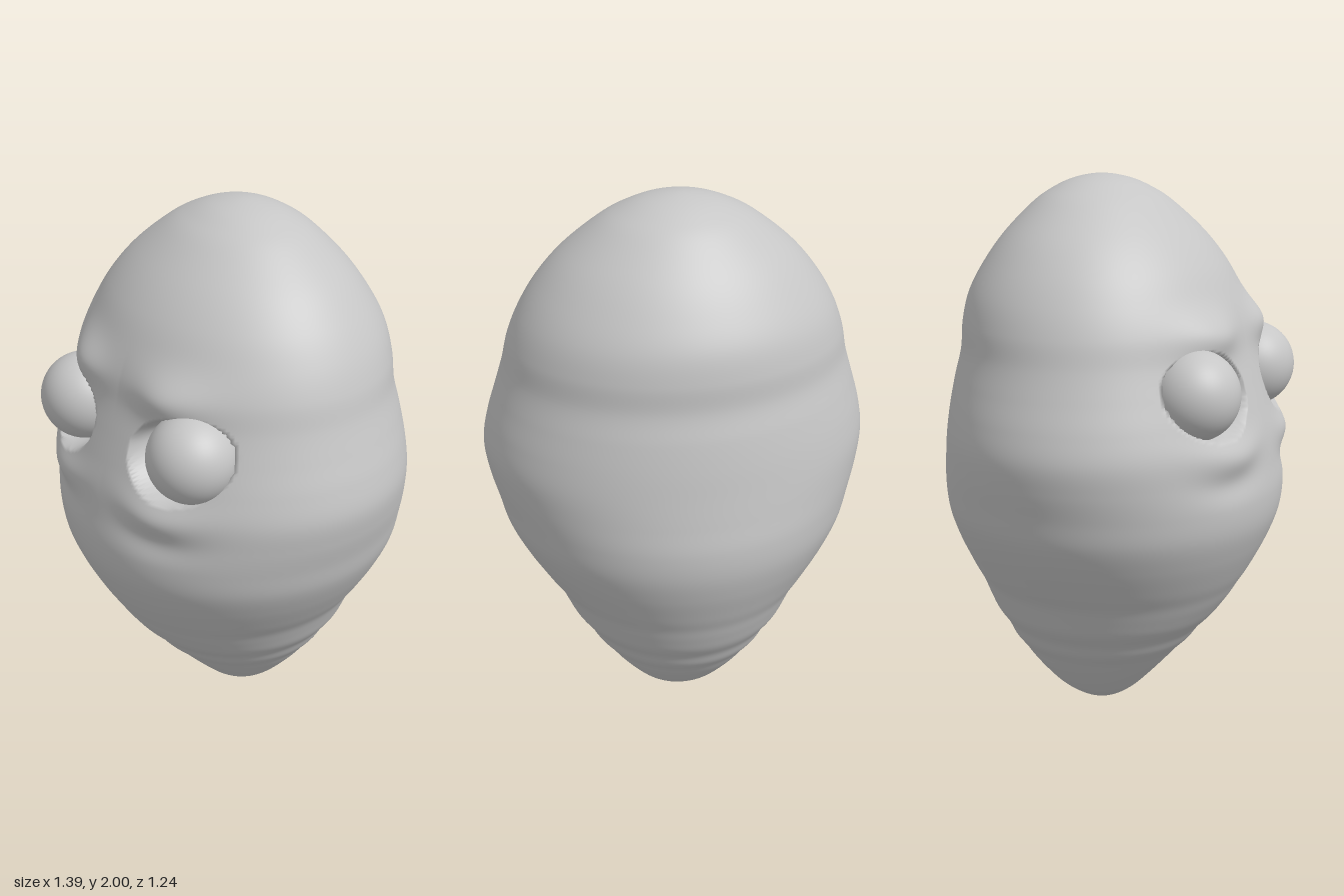
import * as THREE from 'three';

// Head cross-sections, bottom to top: [y, half width, front z, back z]
const RINGS = [
  [0, 0, -0.055, -0.055], [0.012, 0.066, 0.01, -0.12], [0.05, 0.133, 0.072, -0.183],
  [0.1, 0.188, 0.126, -0.247], [0.2, 0.272, 0.218, -0.333], [0.3, 0.343, 0.306, -0.4],
  [0.4, 0.408, 0.39, -0.457], [0.5, 0.462, 0.466, -0.506], [0.6, 0.524, 0.523, -0.546],
  [0.7, 0.584, 0.573, -0.584], [0.8, 0.632, 0.609, -0.61], [0.9, 0.658, 0.619, -0.616],
  [1.0, 0.684, 0.607, -0.604], [1.1, 0.697, 0.592, -0.59], [1.2, 0.68, 0.565, -0.576],
  [1.3, 0.65, 0.535, -0.558], [1.4, 0.62, 0.505, -0.535], [1.5, 0.597, 0.482, -0.53],
  [1.6, 0.557, 0.44, -0.508], [1.7, 0.496, 0.384, -0.456], [1.8, 0.41, 0.304, -0.386],
  [1.9, 0.289, 0.197, -0.292], [1.95, 0.204, 0.122, -0.224], [1.985, 0.11, 0.042, -0.148],
  [2, 0, -0.055, -0.055],
];
const STEPS = 10, COLS = 220;
const EYE = { x: 0.303, y: 1.296, z: 0.424, r: 0.157 };

const bump = (v, centre, width) => Math.exp(-(((v - centre) / width) ** 2));

// Reflecting past each pole keeps the crown and chin rounded
function ring(i) {
  const n = RINGS.length - 1;
  if (i >= 0 && i <= n) return RINGS[i];
  const [y, w, f, b] = RINGS[i < 0 ? 1 : n - 1];
  return [y, -w, b, f];
}

function sampleRing(i, t) {
  const [p, q, r, s] = [ring(i - 1), ring(i), ring(i + 1), ring(i + 2)];
  return q.map((v, k) => v + 0.5 * t * (r[k] - p[k]
    + t * (2 * p[k] - 5 * v + 4 * r[k] - s[k] + t * (3 * (v - r[k]) + s[k] - p[k]))));
}

// Shallow folds around the jaw
function folds(y) {
  return 0.004 * bump(y, 0.4, 0.04) + 0.004 * bump(y, 0.285, 0.03)
    - 0.004 * bump(y, 0.52, 0.04) - 0.003 * bump(y, 0.34, 0.03)
    - 0.002 * bump(y, 0.235, 0.03);
}

// Brows, eye bags and hollow sockets, mirrored across x
function faceOffset(x, y) {
  const ax = Math.abs(x);
  let dz = 0.04 * bump(ax, 0.23, 0.13) * bump(y, 1.485, 0.075);
  const bagY = y - 0.7 * (ax - 0.27) ** 2;
  dz += 0.024 * bump(ax, 0.27, 0.14) * bump(bagY, 1.085, 0.06);
  dz -= 0.01 * bump(ax, 0.27, 0.14) * bump(bagY, 0.985, 0.05);
  const dy = y - 1.295;
  const ry = dy > 0 ? 0.143 + 0.14 * (ax - 0.3) : 0.152;
  const d = Math.hypot((ax - 0.278) / 0.18, dy / ry);
  return dz - 0.14 * (1 - THREE.MathUtils.smoothstep(d, 0.86, 1));
}

function headGeometry() {
  const positions = [], indices = [];
  const rows = (RINGS.length - 1) * STEPS;
  for (let j = 0; j <= rows; j++) {
    const i = Math.min(Math.floor(j / STEPS), RINGS.length - 2);
    const [y, w, f, b] = sampleRing(i, j / STEPS - i);
    const fold = w > 0.1 ? folds(y) : 0;
    for (let c = 0; c < COLS; c++) {
      // Columns are denser on the face
      const s = (c / COLS) * Math.PI * 2;
      const a = s - 0.6 * Math.sin(s);
      const x = (w + fold) * Math.sin(a);
      let z = (f + b) / 2 + ((f - b) / 2 + fold) * Math.cos(a);
      if (Math.cos(a) > 0) z += faceOffset(x, y) * THREE.MathUtils.smoothstep(Math.cos(a), 0, 0.3);
      positions.push(x, y, z);
      if (j < rows) {
        const p = j * COLS + c, q = j * COLS + ((c + 1) % COLS);
        indices.push(p, q, q + COLS, p, q + COLS, p + COLS);
      }
    }
  }
  const geometry = new THREE.BufferGeometry();
  geometry.setAttribute('position', new THREE.Float32BufferAttribute(positions, 3));
  geometry.setIndex(indices);
  geometry.computeVertexNormals();
  return geometry;
}

export function createModel() {
  const group = new THREE.Group();
  group.name = 'alienHead';
  const grey = new THREE.MeshStandardMaterial({ color: 0xc6c6c6 });
  grey.name = 'clay grey';

  const head = new THREE.Mesh(headGeometry(), grey);
  head.name = 'head';
  group.add(head);

  // Eyeballs set in the sockets
  const ball = new THREE.SphereGeometry(EYE.r, 48, 32);
  for (const side of [1, -1]) {
    const eye = new THREE.Mesh(ball, grey);
    eye.name = side > 0 ? 'leftEyeball' : 'rightEyeball';
    eye.position.set(side * EYE.x, EYE.y, EYE.z);
    group.add(eye);
  }
  return group;
}
